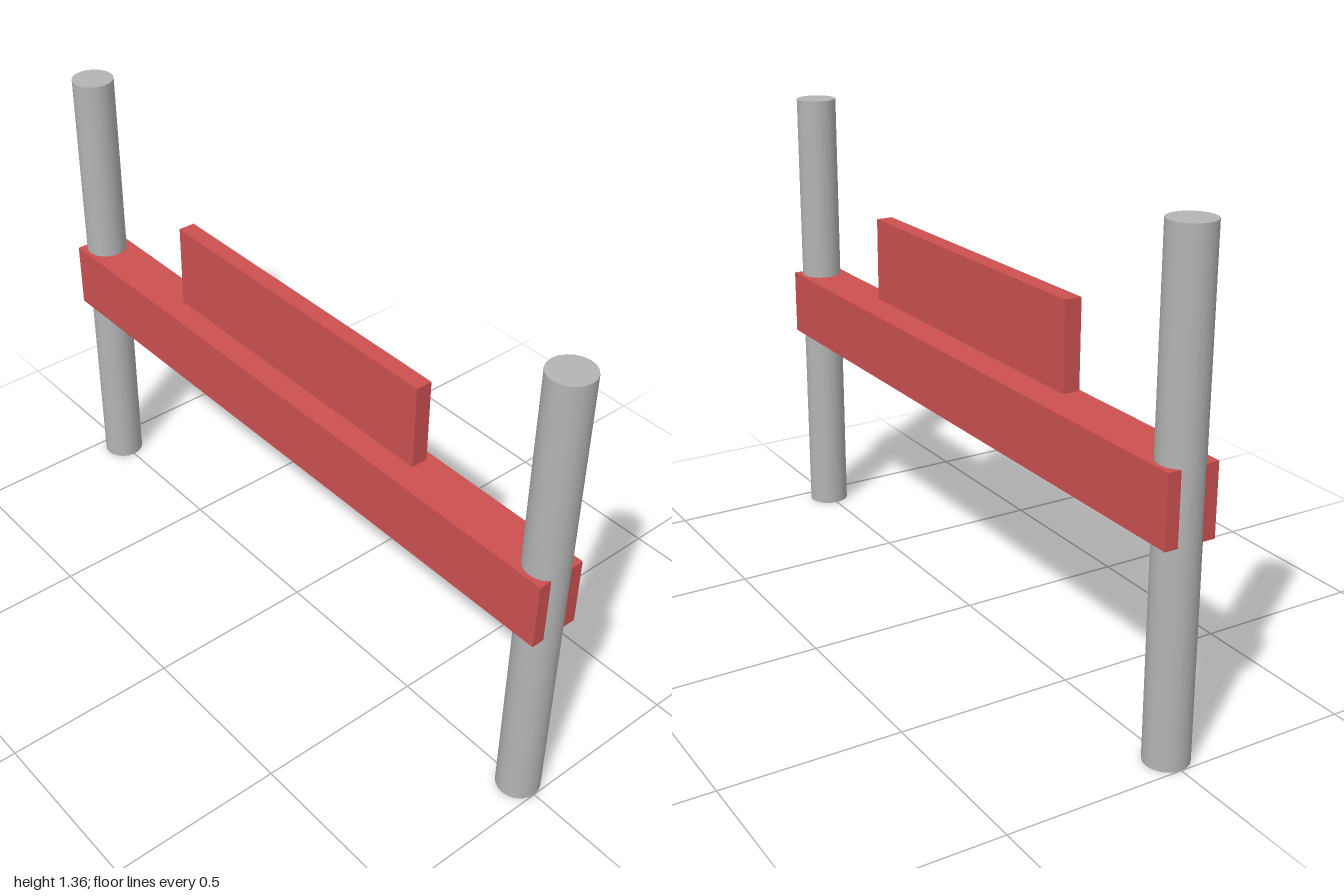
import * as THREE from 'three';

export function createModel() {
  const model = new THREE.Group();
  model.name = 'barrier';

  const postGrey = new THREE.MeshStandardMaterial({ color: 0xb4b4b4 });
  postGrey.name = 'postGrey';
  const boardRed = new THREE.MeshStandardMaterial({ color: 0xcc5050 });
  boardRed.name = 'boardRed';

  const add = (name, geometry, material, x, y, z) => {
    const mesh = new THREE.Mesh(geometry, material);
    mesh.name = name;
    mesh.position.set(x, y, z);
    model.add(mesh);
  };

  // Two round upright posts
  const postHeight = 1.36;
  for (const side of [-1, 1]) {
    add(side > 0 ? 'leftPost' : 'rightPost',
      new THREE.CylinderGeometry(0.061, 0.061, postHeight, 20),
      postGrey, side * 0.939, postHeight / 2, 0);
  }

  // Long beam through which the posts pass
  add('beam', new THREE.BoxGeometry(1.977, 0.196, 0.146), boardRed, 0, 0.695, 0);

  // Thin sign board hovering just above the beam
  add('signBoard', new THREE.BoxGeometry(0.99, 0.246, 0.049), boardRed, -0.002, 0.943, 0);

  return model;
}
